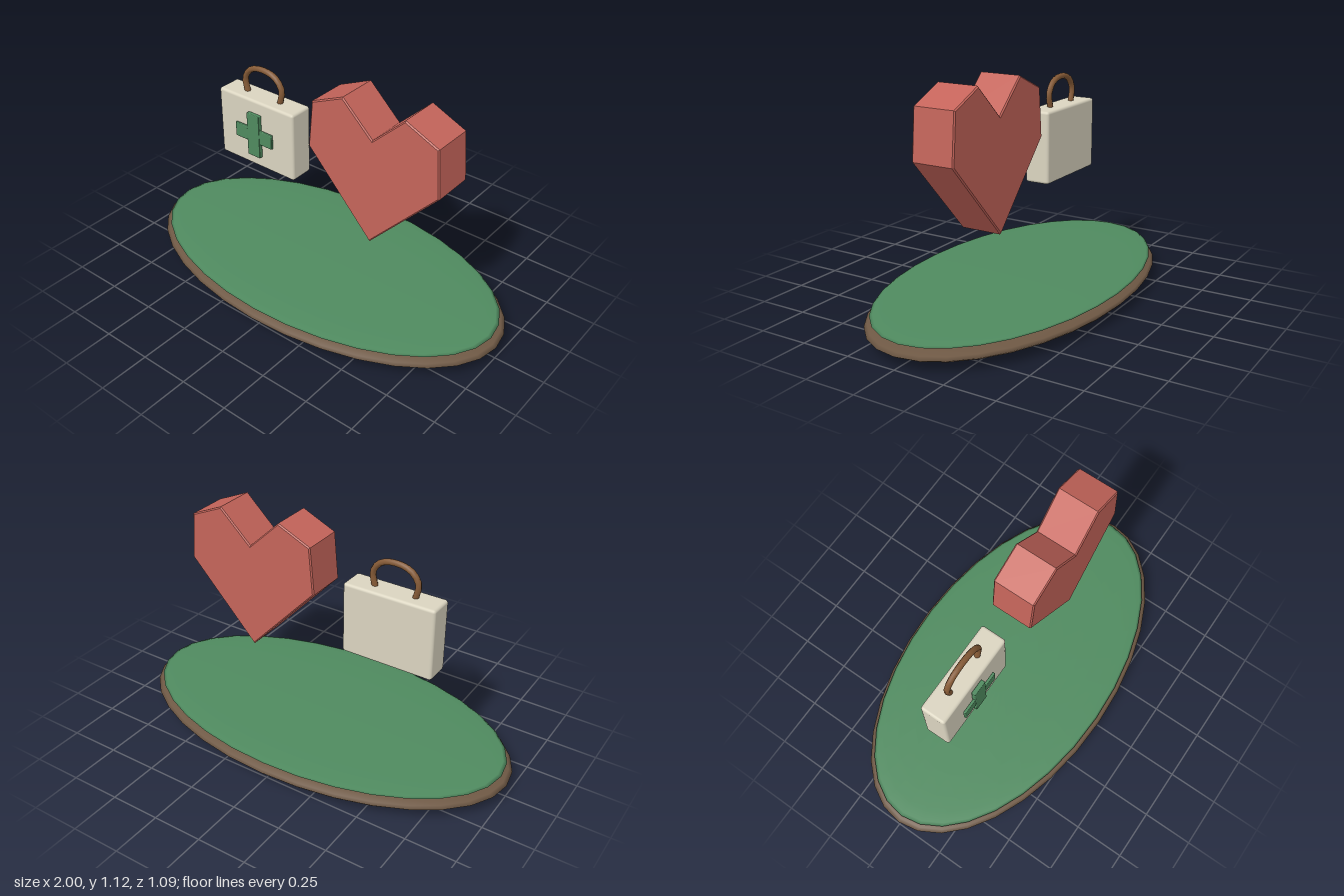
import * as THREE from 'three';
import { RoundedBoxGeometry } from 'three/addons/geometries/RoundedBoxGeometry.js';

const material = (color) => new THREE.MeshStandardMaterial({ color });

export function createModel() {
  const model = new THREE.Group();
  const soil = material(0x6e5844);
  const green = material(0x4f8a5f);
  const cream = material(0xdad4c0);
  const red = material(0xc4645a);
  const leather = material(0x855a36);

  const add = (name, geometry, mat, x, y, z, parent = model) => {
    const mesh = new THREE.Mesh(geometry, mat);
    mesh.name = name;
    mesh.position.set(x, y, z);
    parent.add(mesh);
    return mesh;
  };
  const box = (w, h, d, r) => new RoundedBoxGeometry(w, h, d, 2, r);

  // Flattened oval island: earth below, a thin grass pad on top
  const disc = (rx, ry, rz) => new THREE.SphereGeometry(1, 32, 16).scale(rx, ry, rz);
  add('earthBase', disc(1, 0.06, 0.545), soil, 0, 0.06, 0);
  add('grassTop', disc(0.97, 0.018, 0.525), green, 0, 0.104, 0);

  // Faceted heart, extruded from a half outline and its mirror
  const half = [[0.165, 1.117], [0.338, 1.04], [0.358, 0.803]];
  const outline = [
    [0, 0.42],
    ...[...half].reverse(),
    [0, 0.96],
    ...half.map(([x, y]) => [-x, y]),
  ].map(([x, y]) => new THREE.Vector2(x, y));
  const bevel = 0.006;
  const heart = new THREE.ExtrudeGeometry(new THREE.Shape(outline), {
    depth: 0.214 - 2 * bevel,
    bevelThickness: bevel,
    bevelSize: bevel,
    bevelOffset: -bevel,
    bevelSegments: 1,
  });
  heart.translate(0, 0, -0.107 + bevel);
  add('heart', heart, red, 0.349, 0, 0);

  // First-aid case with a raised cross
  const kit = new THREE.Group();
  kit.name = 'firstAidCase';
  kit.position.set(-0.375, 0.71, 0);
  model.add(kit);
  add('caseBody', box(0.47, 0.362, 0.13, 0.014), cream, 0, 0, 0, kit);
  add('crossBar', box(0.232, 0.076, 0.014, 0.004), green, 0, 0, 0.079, kit);
  add('crossPost', box(0.078, 0.232, 0.022, 0.004), green, 0, 0, 0.077, kit);

  // Carrying handle, pinched slightly towards the case
  const side = [[0.102, 0.172], [0.116, 0.245], [0.09, 0.291], [0.042, 0.316]];
  const path = [
    ...side.map(([x, y]) => new THREE.Vector3(-x, y, 0)),
    ...[...side].reverse().map(([x, y]) => new THREE.Vector3(x, y, 0)),
  ];
  const handle = new THREE.TubeGeometry(new THREE.CatmullRomCurve3(path), 16, 0.015, 8);
  add('handle', handle, leather, 0, 0, 0, kit);

  return model;
}
